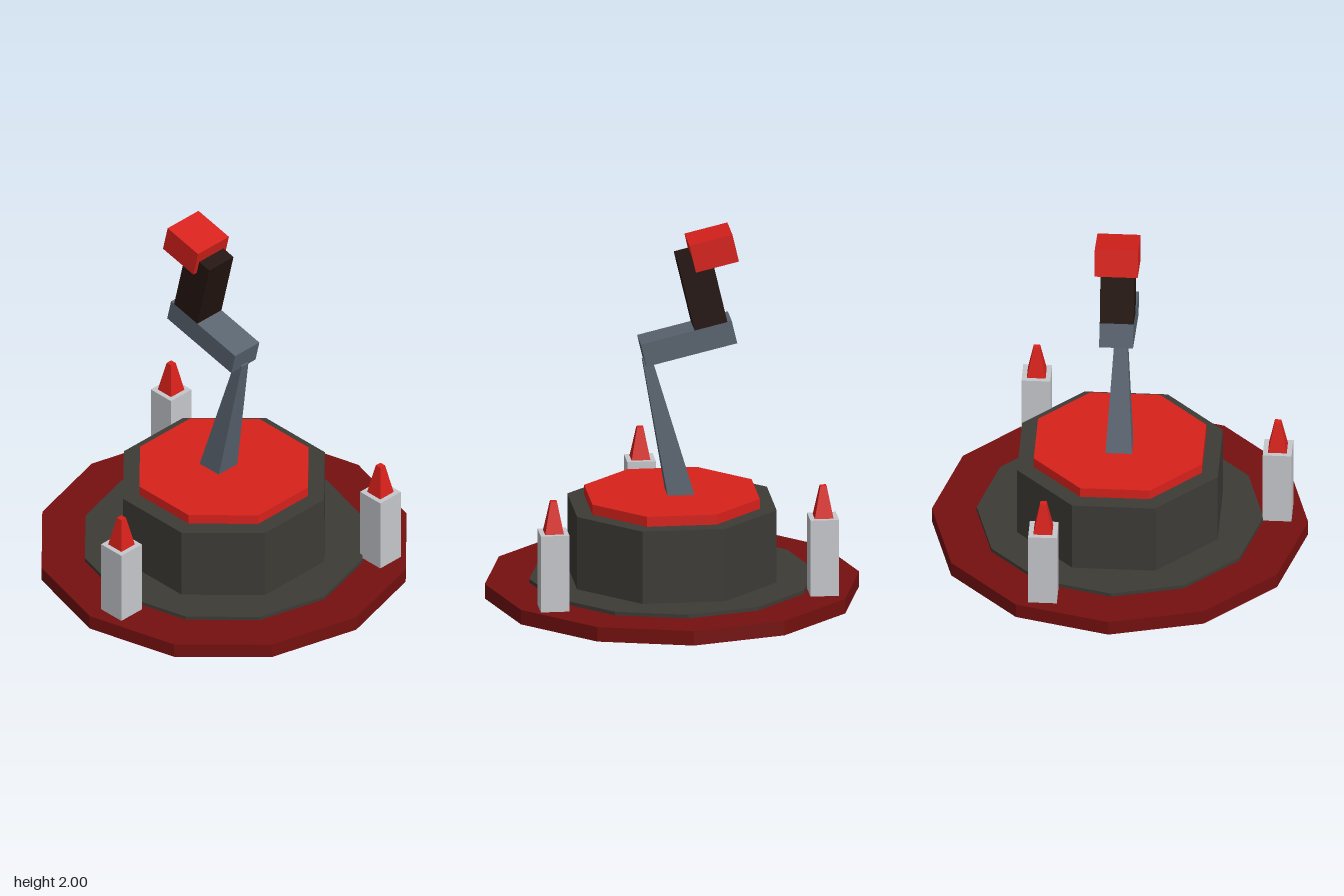
import * as THREE from 'three';

const paint = (color) => new THREE.MeshStandardMaterial({ color, flatShading: true });

export function createModel() {
  const model = new THREE.Group();
  const maroon = paint(0x74100f), red = paint(0xd8211b), charcoal = paint(0x3d3b36);
  const steel = paint(0x5a6570), soot = paint(0x241410), pale = paint(0xc6c8cc);
  const TILT = 0.23; // lean shared by every piece of the arm

  const add = (name, geometry, material, x, y, z = 0, parent = model) => {
    const mesh = new THREE.Mesh(geometry, material);
    mesh.name = name;
    mesh.position.set(x, y, z);
    parent.add(mesh);
    return mesh;
  };

  // Regular prism standing between two heights
  const slab = (name, radius, y0, y1, sides, turn, material) =>
    add(name, new THREE.CylinderGeometry(radius, radius, y1 - y0, sides).rotateY(turn),
      material, 0, (y0 + y1) / 2);

  // Square frustum given by half widths
  const taper = (top, bottom, height) =>
    new THREE.CylinderGeometry(top * Math.SQRT2, bottom * Math.SQRT2, height, 4).rotateY(Math.PI / 4);

  // Stepped base
  slab('basePlate', 1, 0, 0.08, 12, 0, maroon);
  slab('baseStep', 0.762, 0.08, 0.1, 12, 0, charcoal);
  slab('pedestal', 0.577, 0.1, 0.5, 8, Math.PI / 8, charcoal);
  slab('pedestalCap', 0.484, 0.5, 0.555, 8, Math.PI / 8, red);

  // Three posts with pointed lamps
  for (const [x, z] of [[0.69, -0.485], [-0.765, -0.36], [0.073, 0.835]]) {
    const post = new THREE.Group();
    post.name = 'beaconPost';
    post.position.set(x, 0, z);
    add('postColumn', new THREE.BoxGeometry(0.153, 0.42, 0.153), pale, 0, 0.29, 0, post);
    add('postLamp', taper(0.017, 0.05, 0.172), red, 0, 0.586, 0, post);
    model.add(post);
  }

  // Leaning mast, its foot sunk into the cap
  add('mast', taper(0.025, 0.073, 0.822), steel, 0.041, 0.9, 0).rotation.z = -TILT;

  // Crank arm, upper arm and head
  const arm = [
    ['crossArm', 0.498, 0.128, 0.18, steel, -0.081, 1.398],
    ['upperArm', 0.18, 0.437, 0.18, soot, -0.157, 1.667],
    ['head', 0.236, 0.154, 0.23, red, -0.212, 1.9],
  ];
  for (const [name, w, h, d, material, x, y] of arm) {
    add(name, new THREE.BoxGeometry(w, h, d), material, x, y).rotation.z = -TILT;
  }

  return model;
}
